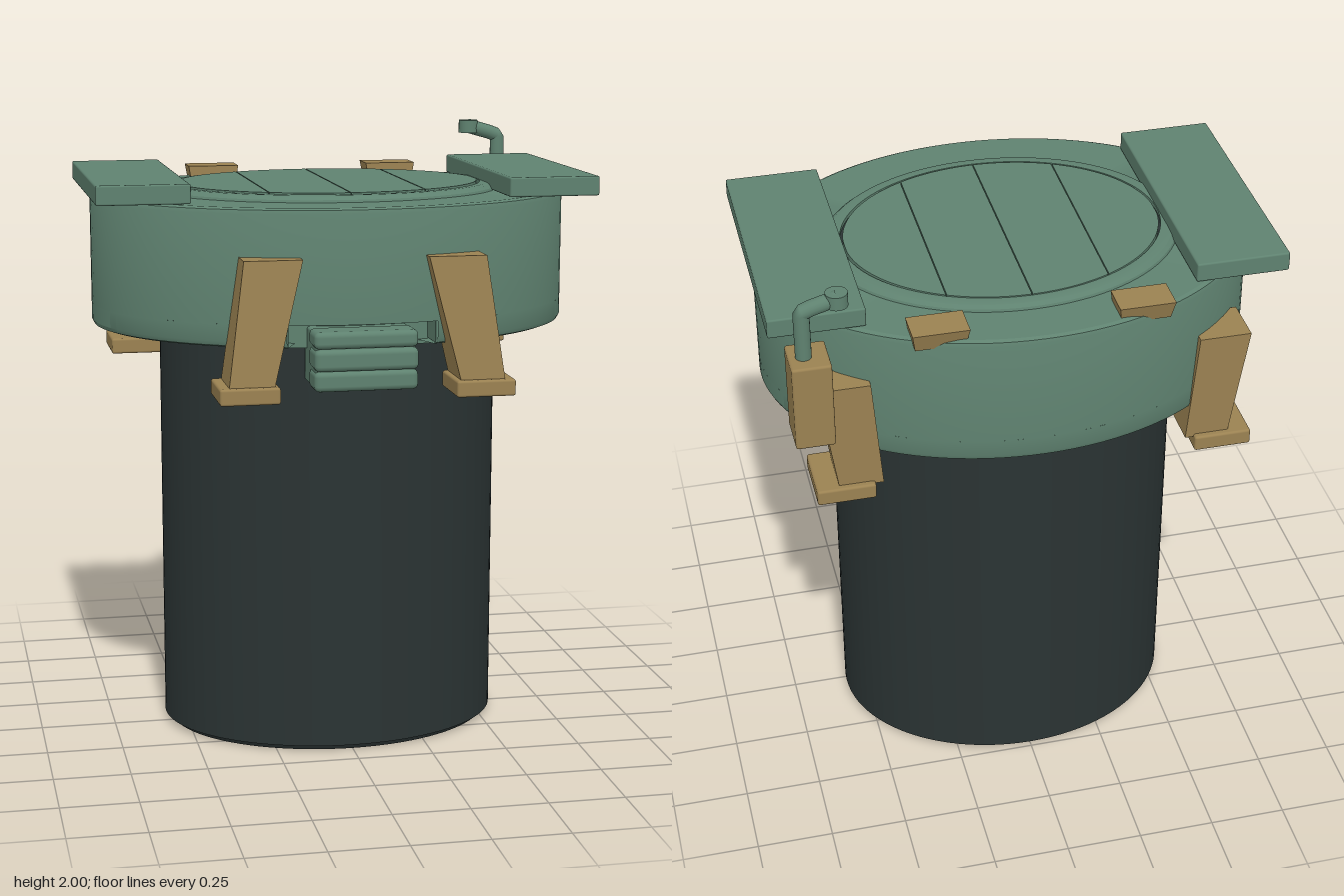
import * as THREE from 'three';
import { toCreasedNormals } from 'three/addons/utils/BufferGeometryUtils.js';
import { RoundedBoxGeometry } from 'three/addons/geometries/RoundedBoxGeometry.js';

const CZ = -0.04; // shared centre of all the oval parts

export function createModel() {
  const root = new THREE.Group();
  const material = (name, color, side = THREE.FrontSide) => {
    const m = new THREE.MeshStandardMaterial({ color, side });
    m.name = name;
    return m;
  };
  const green = material('sage green', 0x5f8270, THREE.DoubleSide);
  const brown = material('ochre brown', 0x9b8252);
  const black = material('charcoal', 0x2a3333);

  const add = (name, geometry, mat, x = 0, y = 0, z = 0) => {
    const mesh = new THREE.Mesh(geometry, mat);
    mesh.name = name;
    mesh.position.set(x, y, z);
    root.add(mesh);
    return mesh;
  };

  // Oval turned part: profile of [x radius, y] from bottom to top
  const oval = (name, profile, ratio, mat, start = 0, length = Math.PI * 2) => {
    const points = profile.map(([r, y]) => new THREE.Vector2(r, y));
    const g = new THREE.LatheGeometry(points, 96, start, length);
    g.scale(1, 1, ratio);
    return add(name, toCreasedNormals(g, 0.45), mat, 0, 0, CZ);
  };

  // Box given by its limits, with slightly rounded edges
  const block = (name, [x0, x1], [y0, y1], [z0, z1], mat, r = 0.008) =>
    add(name, new RoundedBoxGeometry(x1 - x0, y1 - y0, z1 - z0, 2, r), mat,
      (x0 + x1) / 2, (y0 + y1) / 2, (z0 + z1) / 2);

  // Tapered block between a bottom and a top rectangle [x0, x1, z0, z1]
  const taper = (name, y0, y1, bottom, top, mat) => {
    const g = new THREE.BoxGeometry(1, 1, 1);
    const p = g.attributes.position;
    for (let i = 0; i < p.count; i++) {
      const up = p.getY(i) > 0;
      const rect = up ? top : bottom;
      p.setXYZ(i, rect[p.getX(i) > 0 ? 1 : 0], up ? y1 : y0, rect[p.getZ(i) > 0 ? 3 : 2]);
    }
    const flat = g.toNonIndexed();
    flat.computeVertexNormals();
    return add(name, flat, mat);
  };

  // Long shaft
  oval('shaft', [[0, 0], [0.545, 0], [0.555, 0.015], [0.569, 0.018], [0.569, 1.46], [0, 1.46]], 0.804, black);

  // Collar, with a notch cut from the bottom of its front
  const ratio = 0.772;
  const notch = 0.309;
  oval('collar', [[0.5, 1.455], [0.794, 1.455], [0.794, 1.802], [0.789, 1.814], [0.775, 1.82], [0, 1.82]], ratio, green);
  oval('collarSkirt', [[0.5, 1.38], [0.77, 1.38], [0.787, 1.386], [0.794, 1.4], [0.794, 1.455]],
    ratio, green, notch, Math.PI * 2 - 2 * notch);
  oval('notchWall', [[0.5, 1.365], [0.65, 1.365], [0.65, 1.456]], ratio, green, -0.4, 0.8);

  // Raised hatch rim
  oval('hatchRim', [[0.572, 1.818], [0.568, 1.828], [0.555, 1.838], [0.54, 1.841], [0.514, 1.841], [0.514, 1.82]],
    0.795, green);
  oval('hatchGap', [[0.514, 1.822], [0.514, 1.828], [0, 1.828]], 0.8, black);

  // Four hatch leaves, split by straight seams
  const rx = 0.505, rz = 0.403, gap = 0.0015;
  const seams = [-rx, -0.255, 0, 0.255, rx];
  for (let i = 0; i < 4; i++) {
    const a = seams[i] + gap, b = seams[i + 1] - gap;
    const edge = [];
    for (let k = 0; k <= 24; k++) {
      const t = Math.acos(a / rx) + (Math.acos(b / rx) - Math.acos(a / rx)) * k / 24;
      edge.push(new THREE.Vector2(rx * Math.cos(t), rz * Math.sin(t)));
    }
    const mirrored = edge.map(v => new THREE.Vector2(v.x, -v.y)).reverse();
    const g = new THREE.ExtrudeGeometry(new THREE.Shape([...edge, ...mirrored]), { depth: 0.02, bevelEnabled: false });
    g.rotateX(-Math.PI / 2);
    add('hatchLeaf', g, green, 0, 1.825, -0.046);
  }

  for (const s of [-1, 1]) {
    const range = (a, b) => (s > 0 ? [a, b] : [-b, -a]);

    // Side plates on top
    block('sidePlate', range(0.516, 0.815), [1.822, 1.885], [-0.47, 0.385], green, 0.006);

    // Notch cheeks
    block('notchCheek', range(0.236, 0.248), [1.383, 1.458], [0.36, 0.537], green, 0.002);

    // Front legs, leaning outwards towards the foot
    taper('frontLeg', 1.27, 1.667, [...range(0.298, 0.44), 0.463, 0.637], [...range(0.2, 0.385), 0.48, 0.598], brown);
    block('frontFoot', range(0.28, 0.47), [1.227, 1.28], [0.45, 0.655], brown);

    // Rear legs
    taper('rearLeg', 1.27, 1.645, [...range(0.49, 0.63), -0.522, -0.38], [...range(0.52, 0.685), -0.528, -0.373], brown);
    block('rearFoot', range(0.517, 0.703), [1.227, 1.28], [-0.543, -0.335], brown);

    // Small lugs on the back rim
    taper('rearLug', 1.795, 1.856, [...range(0.24, 0.395), -0.595, -0.5], [...range(0.23, 0.405), -0.613, -0.502], brown);
  }

  // Ribbed step under the front notch
  block('stepBody', [-0.16, 0.16], [1.255, 1.435], [0.4, 0.595], green);
  [[1.385, 1.44], [1.315, 1.385], [1.25, 1.315]].forEach((y, i) =>
    block('stepRib', [-0.166, 0.166], y, [0.5, 0.605 + (i === 1 ? 0.015 : 0.008)], green, 0.018));

  // Equipment box and periscope at the back left
  block('equipmentBox', [0.645, 0.767], [1.5, 1.79], [-0.605, -0.463], brown);
  const path = new THREE.CurvePath();
  const pts = [[0.72, 1.78], [0.72, 1.945], [0.69, 1.957], [0.61, 1.98]].map(([x, y]) => new THREE.Vector3(x, y, -0.538));
  for (let i = 0; i < 3; i++) path.add(new THREE.LineCurve3(pts[i], pts[i + 1]));
  add('periscopeTube', new THREE.TubeGeometry(path, 40, 0.025, 16), green);
  const head = new THREE.CylinderGeometry(0.034, 0.034, 0.044, 24);
  add('periscopeHead', head, green, 0.613, 1.978, -0.538);

  return root;
}
